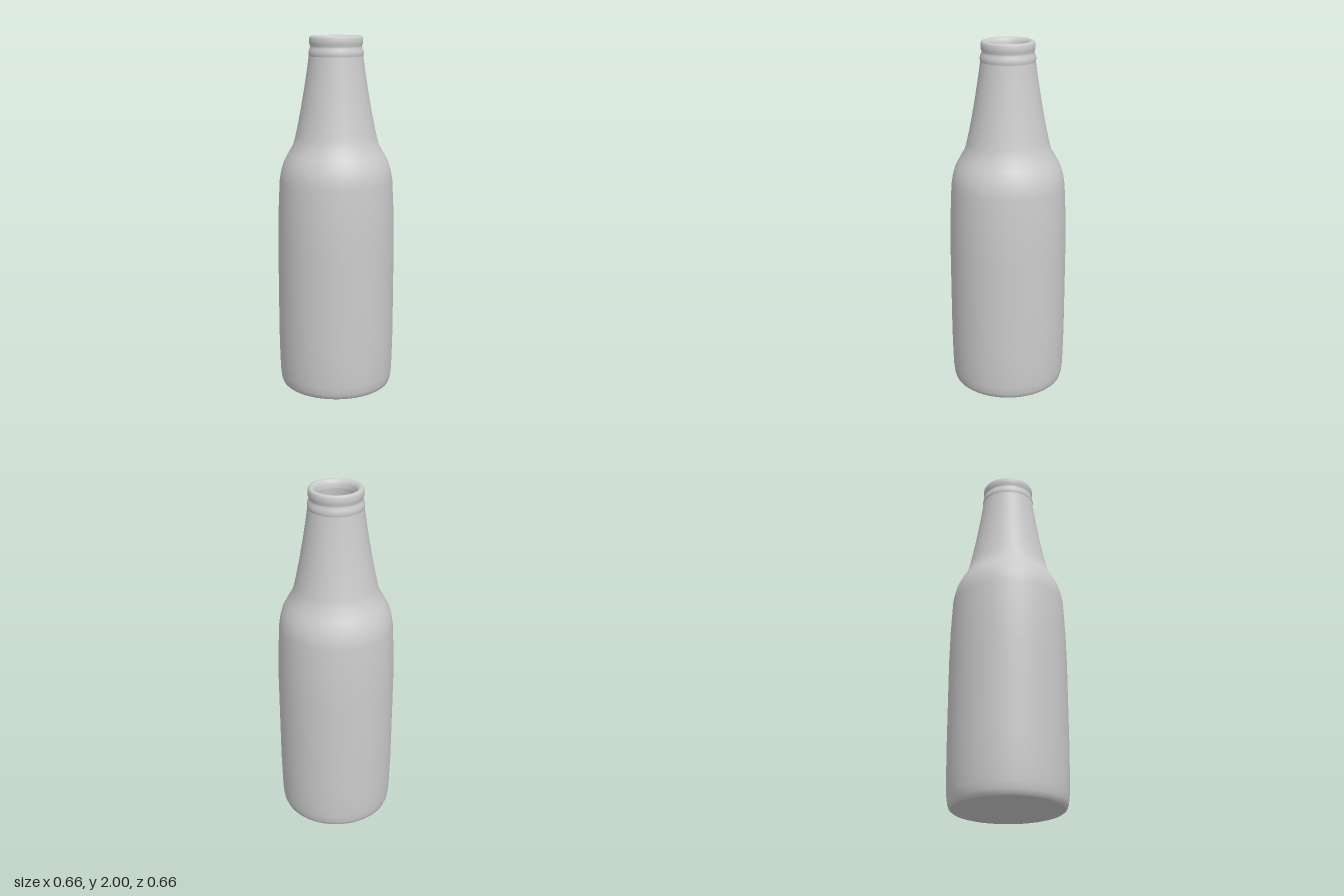
import * as THREE from 'three';

const SEGMENTS = 64;
const material = new THREE.MeshStandardMaterial({ color: 0xcccccc, side: THREE.DoubleSide });

// Revolve a list of [radius, height] points around the y axis.
function turned(name, points) {
  const profile = points.map(([r, y]) => new THREE.Vector2(r, y));
  const mesh = new THREE.Mesh(new THREE.LatheGeometry(profile, SEGMENTS), material);
  mesh.name = name;
  return mesh;
}

export function createModel() {
  const bottle = new THREE.Group();
  bottle.name = 'bottle';

  // Flat underside
  bottle.add(turned('base', [[0, 0], [0.303, 0]]));

  // Body, sloping shoulder and tapering neck
  bottle.add(turned('body', [
    [0.303, 0], [0.312, 0.008], [0.32, 0.03], [0.325, 0.07], [0.328, 0.15],
    [0.331, 0.3], [0.331, 0.85], [0.327, 1.02], [0.318, 1.2], [0.31, 1.25],
    [0.296, 1.3], [0.27, 1.35], [0.241, 1.4], [0.227, 1.45], [0.214, 1.51],
    [0.196, 1.6], [0.177, 1.71], [0.161, 1.81], [0.15, 1.89],
  ]));

  // Two raised bands and a rounded lip turning into the mouth
  bottle.add(turned('lip', [
    [0.15, 1.89], [0.152, 1.9], [0.152, 1.912], [0.148, 1.925], [0.143, 1.937],
    [0.143, 1.945], [0.147, 1.957], [0.148, 1.97], [0.147, 1.988], [0.142, 1.997],
    [0.133, 2], [0.123, 1.998], [0.113, 1.989], [0.107, 1.975], [0.105, 1.955],
  ]));

  // Hollow inside, down to the inner floor
  bottle.add(turned('innerWall', [
    [0.105, 1.955], [0.11, 1.89], [0.136, 1.81], [0.172, 1.6], [0.19, 1.51],
    [0.216, 1.4], [0.27, 1.3], [0.294, 1.2], [0.306, 0.85], [0.306, 0.15],
    [0.295, 0.05], [0.28, 0.03],
  ]));
  bottle.add(turned('innerFloor', [[0.28, 0.03], [0, 0.03]]));

  return bottle;
}
